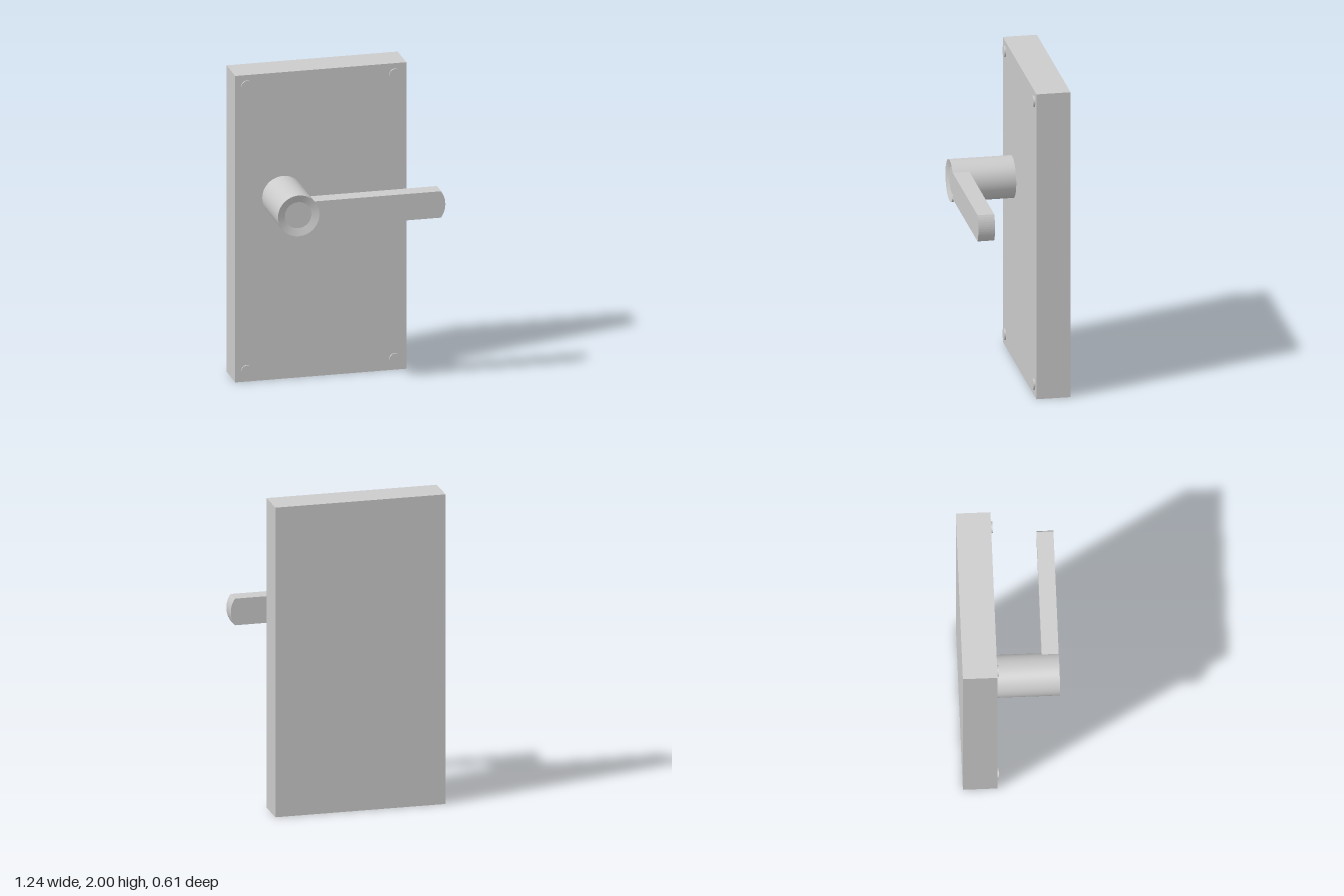
import * as THREE from 'three';
import { toCreasedNormals } from 'three/addons/utils/BufferGeometryUtils.js';

export function createModel() {
  const group = new THREE.Group();
  const material = new THREE.MeshStandardMaterial({ color: 0xcccccc });
  const add = (name, geometry, x, y, z) => {
    const mesh = new THREE.Mesh(geometry, material);
    mesh.name = name;
    mesh.position.set(x, y, z);
    group.add(mesh);
  };

  const plateFront = -0.09, handleFront = 0.305;
  const hubX = -0.319, hubY = 1.19, hubR = 0.133;

  // Back plate
  add('backPlate', new THREE.BoxGeometry(1.092, 2, 0.215), -0.078, 1, plateFront - 0.1075);

  // Corner screws
  const screw = new THREE.CylinderGeometry(0.035, 0.035, 0.02, 32).rotateX(Math.PI / 2);
  for (const x of [-0.551, 0.395])
    for (const y of [0.074, 1.93]) add('screw', screw, x, y, plateFront);

  // Spindle with a shallow dished front
  const length = handleFront - plateFront, dish = 0.015;
  const profile = [[0, 0], [hubR, 0], [hubR, length], [0.085, length - dish], [0, length - dish]]
    .map(([r, h]) => new THREE.Vector2(r, h));
  const spindle = new THREE.LatheGeometry(profile, 48).rotateX(Math.PI / 2);
  add('spindle', toCreasedNormals(spindle, 0.2), hubX, hubY, plateFront);

  // Lever: starts on the spindle's rim and ends in a shallow arc
  const half = 0.086, tipX = 0.936, tipR = 0.15;
  const rimAngle = Math.asin(half / hubR), tipAngle = Math.asin(half / tipR);
  const outline = new THREE.Shape();
  outline.absarc(0, 0, hubR, rimAngle, -rimAngle, true);
  outline.absarc(tipX - tipR, 0, tipR, -tipAngle, tipAngle, false);
  outline.closePath();
  const lever = new THREE.ExtrudeGeometry(outline, { depth: 0.105, bevelEnabled: false, curveSegments: 6 });
  add('lever', lever, hubX, hubY, handleFront - 0.105);

  return group;
}
